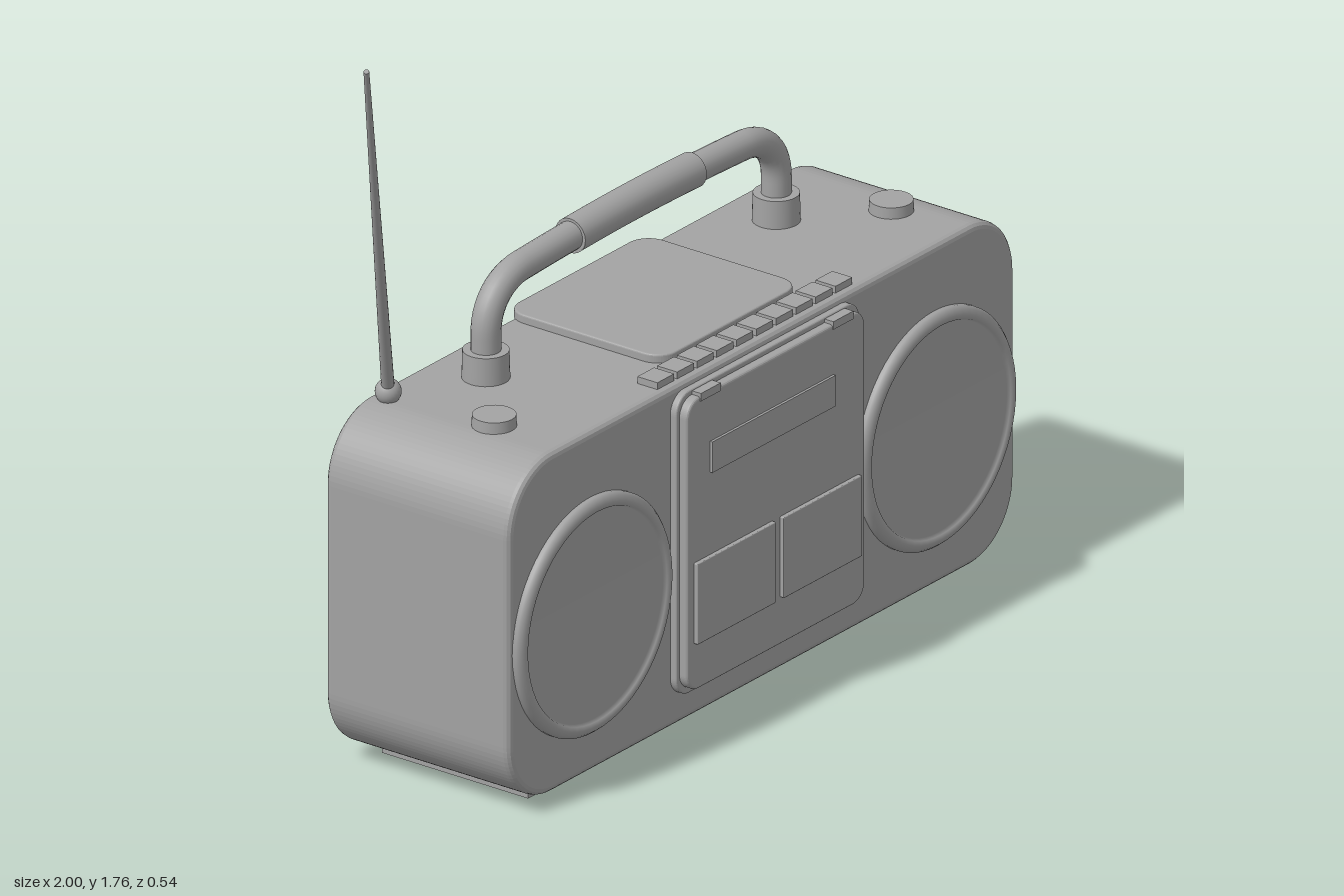
import * as THREE from 'three';

const grey = new THREE.MeshStandardMaterial({ color: 0xa3a3a3 });
grey.name = 'grey plastic';

// Slab with rounded corners, centred on x and y, from z = 0 to depth
function slab(w, h, r, depth, bevel = 0.004, segments = 8) {
  const x = w / 2 - bevel, y = h / 2 - bevel, q = Math.max(r - bevel, 0.001);
  const s = new THREE.Shape();
  s.absarc(x - q, y - q, q, 0, Math.PI / 2);
  s.absarc(-x + q, y - q, q, Math.PI / 2, Math.PI);
  s.absarc(-x + q, -y + q, q, Math.PI, Math.PI * 1.5);
  s.absarc(x - q, -y + q, q, Math.PI * 1.5, Math.PI * 2);
  s.closePath();
  const g = new THREE.ExtrudeGeometry(s, {
    depth: depth - 2 * bevel, bevelSize: bevel, bevelThickness: bevel,
    bevelSegments: 3, curveSegments: segments,
  });
  return g.translate(0, 0, bevel);
}

export function createModel() {
  const model = new THREE.Group();
  model.name = 'portableStereo';
  const MID = 0.136; // centre line of the case
  const add = (name, geometry, x = 0, y = 0, z = 0) => {
    const m = new THREE.Mesh(geometry, grey);
    m.name = name;
    m.position.set(x, y, z);
    model.add(m);
    return m;
  };

  // Case
  add('case', slab(1.726, 0.77, 0.15, 0.478, 0.015, 10), MID, 0.405, -0.26);

  // Parts mirrored about the centre line
  for (const side of [-1, 1]) {
    const at = (d) => MID + side * d;

    // Speaker with raised rim and shallow recess
    const profile = [[0.265, 0.0], [0.265, 0.012], [0.258, 0.02], [0.247, 0.024],
      [0.237, 0.022], [0.233, 0.014], [0, 0.014]].map(([r, h]) => new THREE.Vector2(r, h));
    const speaker = new THREE.LatheGeometry(profile, 64);
    speaker.rotateX(Math.PI / 2);
    add('speaker', speaker, at(0.586), 0.378, 0.215);

    // Foot
    add('foot', new THREE.BoxGeometry(0.185, 0.03, 0.38), at(0.642), 0.015, -0.02);

    // Top knob
    add('knob', new THREE.CylinderGeometry(0.046, 0.048, 0.04, 32), at(0.677), 0.795, 0.038);

    // Handle socket
    add('handleSocket', new THREE.CylinderGeometry(0.049, 0.051, 0.075, 32), at(0.495), 0.815, -0.122);

    // Cassette window
    add('cassetteWindow', slab(0.268, 0.183, 0.003, 0.02, 0.002, 2), at(0.147), 0.302, 0.245);

    // Door hinge
    add('doorHinge', new THREE.BoxGeometry(0.068, 0.018, 0.03), at(0.226), 0.762, 0.242);
  }

  // Cassette door on its frame
  add('doorFrame', slab(0.626, 0.685, 0.045, 0.022), MID, 0.432, 0.212);
  add('cassetteDoor', slab(0.606, 0.66, 0.04, 0.045, 0.006), MID, 0.433, 0.21);
  add('displayStrip', new THREE.BoxGeometry(0.42, 0.07, 0.008), 0.12, 0.615, 0.257);

  // Lid on top
  const lid = slab(0.476, 0.41, 0.05, 0.026);
  lid.rotateX(-Math.PI / 2);
  add('topLid', lid, MID + 0.002, 0.783, -0.066);

  // Row of push buttons
  for (let i = 0; i < 10; i++) {
    add('pushButton', new THREE.BoxGeometry(0.057, 0.035, 0.052), MID + (i - 4.5) * 0.0675, 0.788, 0.173);
  }

  // Carrying handle: posts, round bends and a slightly arched bar
  const v = (x, y) => new THREE.Vector3(x, y, -0.122);
  const path = new THREE.CurvePath();
  const L = MID - 0.495, R = MID + 0.495;
  path.add(new THREE.LineCurve3(v(L, 0.82), v(L, 0.89)));
  path.add(new THREE.CubicBezierCurve3(v(L, 0.89), v(L, 0.955), v(L + 0.05, 0.998), v(L + 0.12, 1.0)));
  path.add(new THREE.QuadraticBezierCurve3(v(L + 0.12, 1.0), v(MID, 1.018), v(R - 0.12, 1.0)));
  path.add(new THREE.CubicBezierCurve3(v(R - 0.12, 1.0), v(R - 0.05, 0.998), v(R, 0.955), v(R, 0.89)));
  path.add(new THREE.LineCurve3(v(R, 0.89), v(R, 0.82)));
  add('handle', new THREE.TubeGeometry(path, 80, 0.032, 20));

  // Grip sleeve with closed ends
  const gripCurve = new THREE.QuadraticBezierCurve3(v(MID - 0.207, 1.006), v(MID, 1.013), v(MID + 0.207, 1.006));
  add('grip', new THREE.TubeGeometry(gripCurve, 16, 0.039, 24));
  for (const side of [-1, 1]) {
    const cap = new THREE.CircleGeometry(0.039, 24);
    cap.rotateY(side * Math.PI / 2);
    add('gripEnd', cap, MID + side * 0.207, 1.006, -0.122);
  }

  // Aerial: ball joint and tapering rod
  const base = new THREE.Vector3(-0.57, 0.808, -0.215);
  const tip = new THREE.Vector3(-0.995, 1.758, 0.052);
  const dir = tip.clone().sub(base);
  add('aerialJoint', new THREE.SphereGeometry(0.028, 24, 16), base.x, base.y, base.z);
  const mid = base.clone().add(tip).multiplyScalar(0.5);
  const rod = add('aerialRod', new THREE.CylinderGeometry(0.006, 0.014, dir.length(), 16), mid.x, mid.y, mid.z);
  rod.quaternion.setFromUnitVectors(new THREE.Vector3(0, 1, 0), dir.normalize());

  return model;
}
